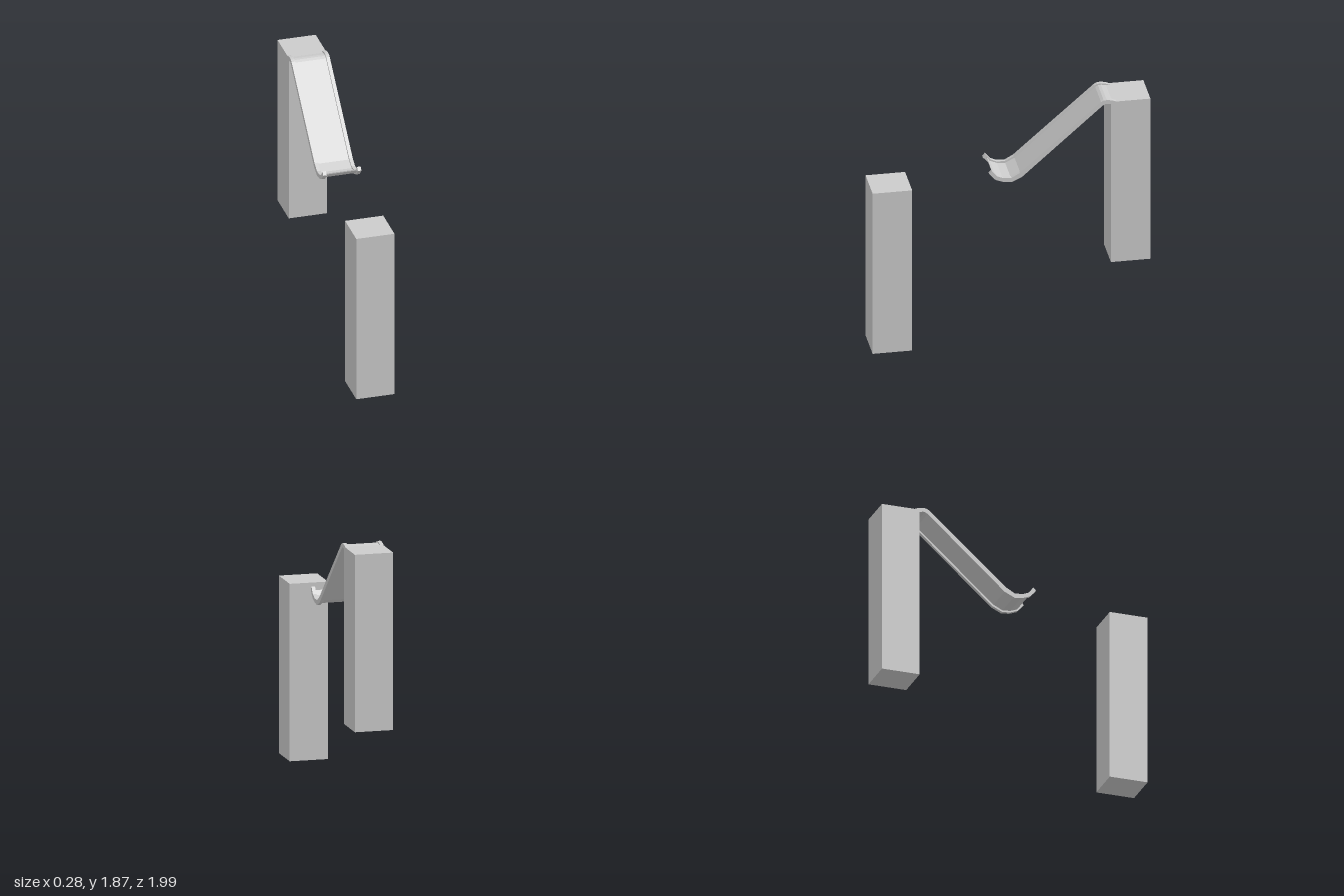
import * as THREE from 'three';

export function createModel() {
  const model = new THREE.Group();
  const grey = new THREE.MeshStandardMaterial({ color: 0xcccccc, flatShading: true });

  const add = (name, geometry, x, y, z) => {
    const mesh = new THREE.Mesh(geometry, grey);
    mesh.name = name;
    mesh.position.set(x, y, z);
    model.add(mesh);
  };

  // Extrudes a closed side profile of [z, y] points across x, centred on x = 0
  const extrudeSide = (points, width) => {
    const shape = new THREE.Shape(points.map(([z, y]) => new THREE.Vector2(z, y)));
    return new THREE.ExtrudeGeometry(shape, { depth: width, bevelEnabled: false })
      .translate(0, 0, -width / 2)
      .rotateY(-Math.PI / 2);
  };

  // Two square pillars, the rear one raised
  const pillar = new THREE.BoxGeometry(0.28, 1.28, 0.283);
  add('frontPillar', pillar, 0, 0.64, 0.853);
  add('rearPillar', pillar, 0, 1.21, -0.853);

  // Side rails: upper and lower edges from the curled foot to the top lip
  const upper = [[0.14, 1.38], [0.105, 1.335], [0.06, 1.315], [0, 1.312], [-0.06, 1.345],
    [-0.64, 1.855], [-0.66, 1.865], [-0.685, 1.868], [-0.72, 1.862], [-0.75, 1.85]];
  const lower = [[0.16, 1.357], [0.115, 1.306], [0.06, 1.285], [0, 1.277], [-0.075, 1.312],
    [-0.65, 1.824], [-0.67, 1.836], [-0.685, 1.838], [-0.715, 1.832], [-0.75, 1.825]];
  const rail = extrudeSide([...upper, ...lower.slice().reverse()], 0.026);
  add('leftRail', rail, 0.127, 0, 0);
  add('rightRail', rail, -0.127, 0, 0);

  // Thin slide bed running between the rails, at mid height
  const middle = upper.map(([z, y], i) => [(z + lower[i][0]) / 2, (y + lower[i][1]) / 2]);
  middle[0] = [0.133, 1.352];
  const shifted = (dy) => middle.map(([z, y]) => [z, y + dy]);
  add('slideBed', extrudeSide([...shifted(0.004), ...shifted(-0.004).reverse()], 0.23), 0, 0, 0);

  return model;
}
